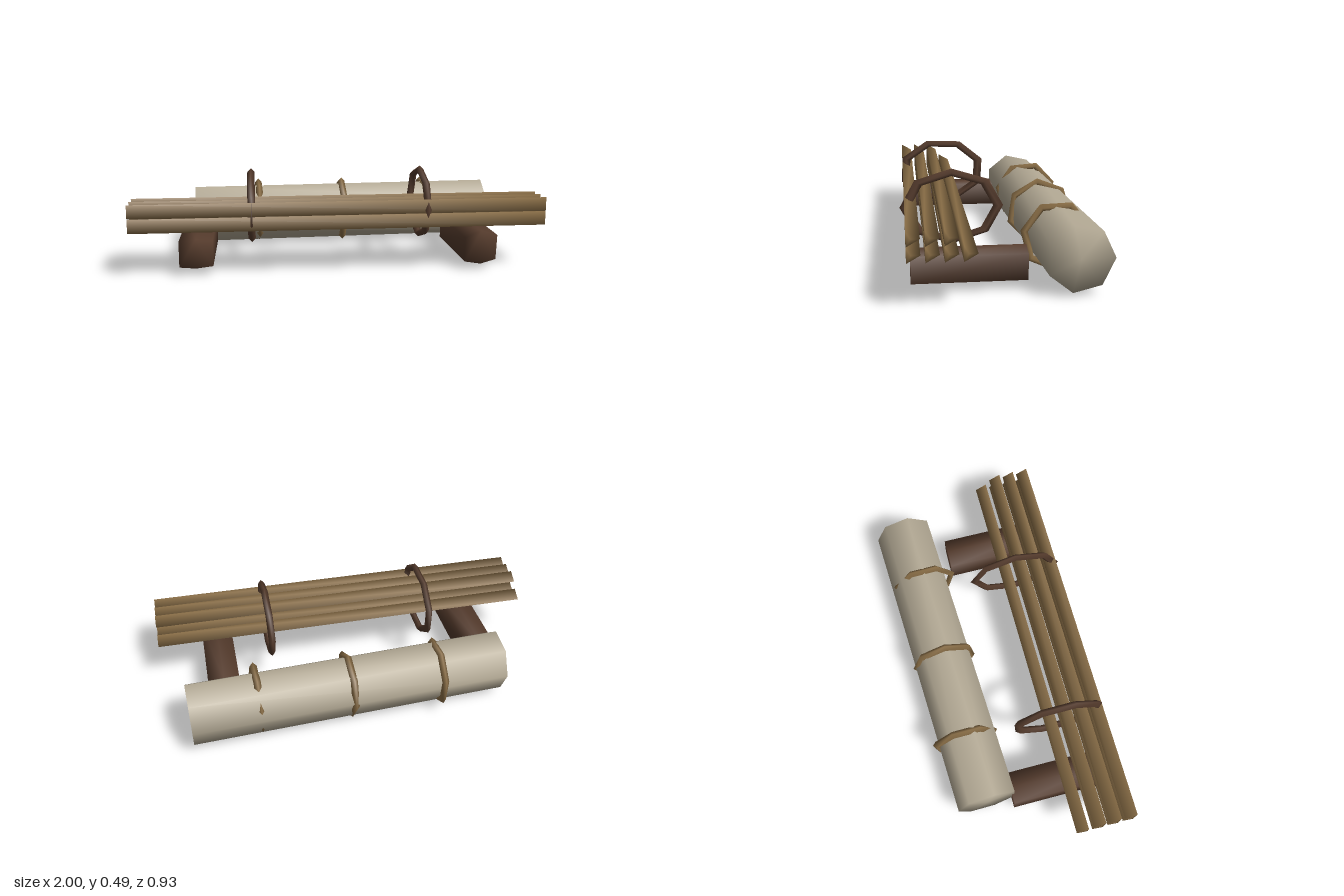
import * as THREE from 'three';
import { mergeVertices } from 'three/addons/utils/BufferGeometryUtils.js';

const mat = (name, color) => {
  const m = new THREE.MeshStandardMaterial({ color });
  m.name = name;
  return m;
};

// Share normals across all edges for a soft low-poly look
function soften(geo) {
  geo.deleteAttribute('normal');
  geo.deleteAttribute('uv');
  geo.clearGroups();
  const g = mergeVertices(geo);
  g.computeVertexNormals();
  return g;
}

// Few-sided rod along x with one corner towards -z
function rod(radius, length, sides) {
  const g = new THREE.CylinderGeometry(radius, radius, length, sides);
  return soften(g.rotateZ(Math.PI / 2).rotateX(Math.PI));
}

// Rope loop around the x axis, stretched to the given radii
function loop(ry, rz, tube, segments, turn) {
  const g = new THREE.TorusGeometry(1, tube / ry, 4, segments);
  return g.rotateZ(turn).rotateY(Math.PI / 2).scale(tube / (tube / ry), ry, rz);
}

// Beam along z from a cross-section
function beam(points, length) {
  const shape = new THREE.Shape(points.map(([x, y]) => new THREE.Vector2(x, y)));
  const g = new THREE.ExtrudeGeometry(shape, { depth: length, bevelEnabled: false });
  return soften(g.translate(0, 0, -length / 2));
}

export function createModel() {
  const group = new THREE.Group();
  const pale = mat('pale bark', 0xb5ab96);
  const tan = mat('tan wood', 0x8b6f47);
  const brown = mat('dark brown', 0x563c2d);

  const add = (name, geo, material, x, y, z) => {
    const mesh = new THREE.Mesh(geo, material);
    mesh.name = name;
    mesh.position.set(x, y, z);
    group.add(mesh);
    return mesh;
  };

  // Large pale log, slightly askew, with three rope bands
  const log = add('paleLog', rod(0.155, 1.61, 7), pale, 0.075, 0.173, -0.272);
  log.rotation.y = 0.048;
  [[-0.385, 0.3], [0.075, 0.75], [0.54, 1.15]].forEach(([x, turn], i) => {
    const band = add('logBand' + (i + 1), loop(0.158, 0.158, 0.018, 7, turn), tan, x, 0.178, -0.268);
    band.rotation.y = 0.03;
  });

  // Two short bearer logs
  const rightSection = [[-0.08, 0.06], [0, 0.07], [0.08, 0.062], [0.08, -0.062], [0, -0.072], [-0.08, -0.065]];
  const leftSection = [[-0.08, 0.05], [0, 0.082], [0.08, 0.06], [0.075, -0.062], [0, -0.083], [-0.08, -0.07]];
  add('rightBearer', beam(rightSection, 0.52), brown, -0.69, 0.112, 0.155);
  add('leftBearer', beam(leftSection, 0.52), brown, 0.69, 0.11, 0.16);

  // Bundle of triangular poles: four below, three above
  const poleGeo = rod(0.039, 2, 3);
  [[4, 0.184, 0.255], [3, 0.263, 0.324]].forEach(([count, z0, y]) => {
    for (let i = 0; i < count; i++) add('pole', poleGeo, tan, 0, y, z0 + i * 0.0785);
  });

  // Two rope loops around the bundle
  add('rightBundleLoop', loop(0.165, 0.222, 0.018, 8, 0.35), brown, -0.425, 0.305, 0.215);
  add('leftBundleLoop', loop(0.165, 0.222, 0.018, 8, 0), brown, 0.42, 0.305, 0.215);

  return group;
}
